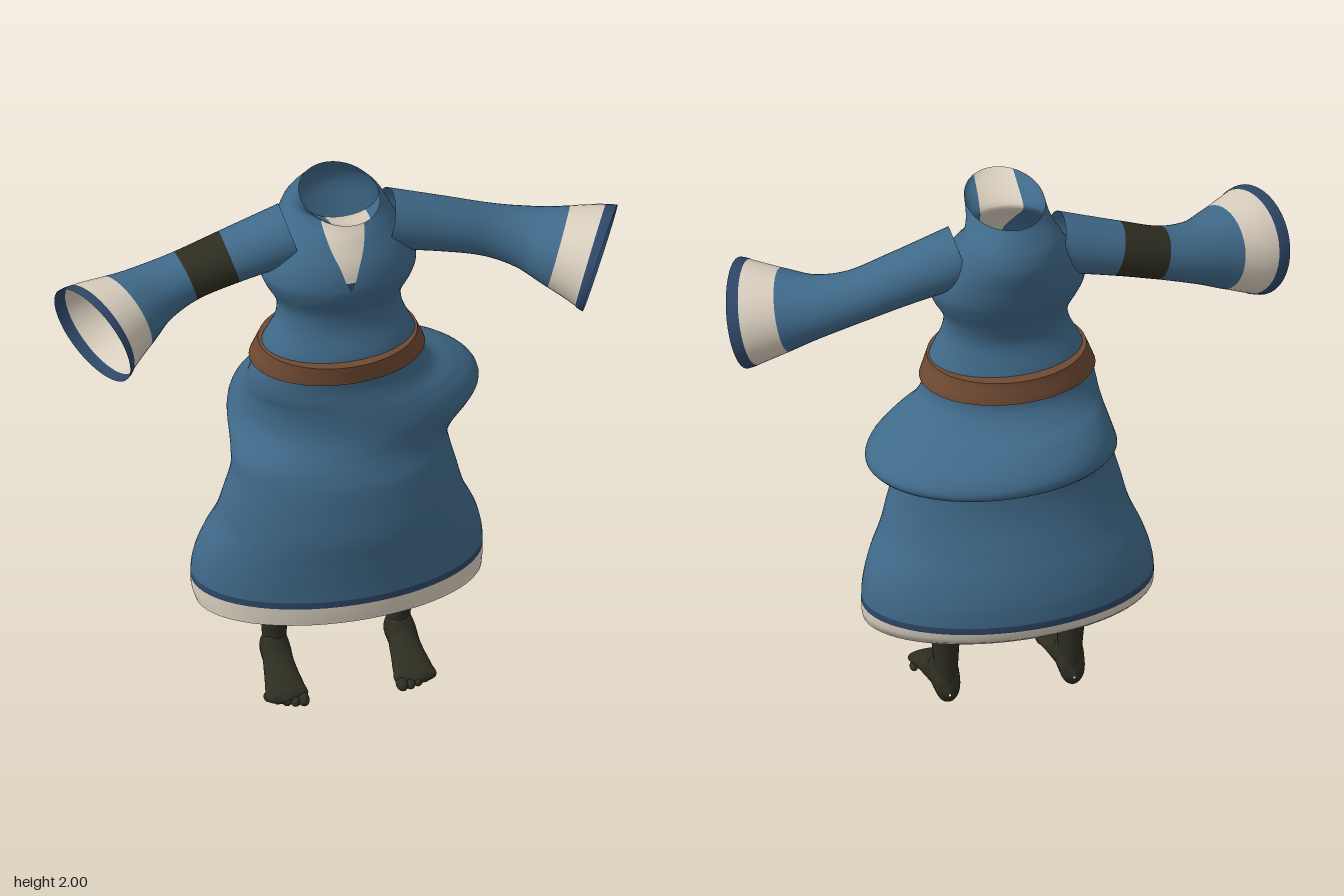
import * as THREE from 'three';

const mat = (name, color, side = THREE.DoubleSide) => {
  const m = new THREE.MeshStandardMaterial({ color, side });
  m.name = name;
  return m;
};

// Smooth interpolation through rows; the first entry of each row is the parameter.
function sampleRows(rows, t) {
  const n = rows.length;
  t = Math.min(Math.max(t, rows[0][0]), rows[n - 1][0]);
  let i = 0;
  while (i < n - 2 && t > rows[i + 1][0]) i++;
  const a = rows[i], b = rows[i + 1], p = rows[Math.max(i - 1, 0)], q = rows[Math.min(i + 2, n - 1)];
  const h = b[0] - a[0], s = (t - a[0]) / h, s2 = s * s, s3 = s2 * s;
  return a.map((v, k) => {
    const ma = (b[k] - p[k]) / (b[0] - p[0]) * h, mb = (q[k] - a[k]) / (q[0] - a[0]) * h;
    return (2 * s3 - 3 * s2 + 1) * v + (s3 - 2 * s2 + s) * ma + (3 * s2 - 2 * s3) * b[k] + (s3 - s2) * mb;
  });
}

// Grid over point(angle, v), with normals taken from the surface itself.
function surface(point, v0, v1, nv, nu = 64, lo = () => 0, hi = () => Math.PI * 2) {
  const pos = [], nor = [], idx = [], e = 1e-3, ev = (v1 - v0) * 1e-3;
  for (let j = 0; j <= nv; j++) {
    const v = v0 + (v1 - v0) * j / nv, a = lo(v), b = hi(v);
    for (let i = 0; i <= nu; i++) {
      const u = a + (b - a) * i / nu;
      const du = point(u + e, v).sub(point(u - e, v));
      const dv = point(u, v + ev).sub(point(u, v - ev));
      pos.push(...point(u, v).toArray());
      nor.push(...du.cross(dv).normalize().toArray());
      if (i < nu && j < nv) {
        const k = j * (nu + 1) + i, l = k + nu + 1;
        idx.push(k, k + 1, l + 1, k, l + 1, l);
      }
    }
  }
  const g = new THREE.BufferGeometry();
  g.setAttribute('position', new THREE.Float32BufferAttribute(pos, 3));
  g.setAttribute('normal', new THREE.Float32BufferAttribute(nor, 3));
  g.setIndex(idx);
  return g;
}

// Horizontal ellipses given by rows of [y, left x, right x, back z, front z].
const ellipses = rows => (u, y) => {
  const [, xl, xr, zb, zf] = sampleRows(rows, y);
  return new THREE.Vector3((xl + xr) / 2 + (xr - xl) / 2 * Math.sin(u), y, (zb + zf) / 2 + (zf - zb) / 2 * Math.cos(u));
};

const ROBE = [
  [0.36, -0.495, 0.495, -0.2, 0.31], [0.4, -0.505, 0.503, -0.24, 0.313], [0.5, -0.5, 0.5, -0.242, 0.315],
  [0.6, -0.472, 0.475, -0.22, 0.32], [0.7, -0.43, 0.432, -0.185, 0.325], [0.8, -0.405, 0.405, -0.15, 0.315],
  [0.9, -0.38, 0.38, -0.13, 0.3], [0.96, -0.376, 0.373, -0.135, 0.28], [1.0, -0.37, 0.41, -0.2, 0.265],
  [1.04, -0.362, 0.475, -0.31, 0.255], [1.08, -0.35, 0.51, -0.356, 0.25], [1.13, -0.335, 0.488, -0.335, 0.245],
  [1.18, -0.32, 0.42, -0.27, 0.24], [1.22, -0.312, 0.345, -0.19, 0.235], [1.27, -0.305, 0.3, -0.14, 0.23],
  [1.34, -0.285, 0.28, -0.125, 0.235], [1.4, -0.265, 0.262, -0.11, 0.235], [1.5, -0.22, 0.22, -0.078, 0.205],
  [1.57, -0.216, 0.216, -0.09, 0.205], [1.65, -0.255, 0.255, -0.12, 0.232], [1.7, -0.27, 0.268, -0.138, 0.24],
  [1.78, -0.243, 0.241, -0.157, 0.225], [1.86, -0.2, 0.198, -0.17, 0.18], [1.91, -0.175, 0.172, -0.16, 0.14],
  [1.94, -0.157, 0.155, -0.145, 0.135], [1.97, -0.143, 0.14, -0.125, 0.185], [2.0, -0.138, 0.13, -0.1, 0.275],
];
const BELT = [[1.325, -0.305, 0.3, -0.17, 0.262], [1.4, -0.277, 0.27, -0.148, 0.268]];

// Half-width of the neckline panel by height.
const NECK = [[1.69, 0], [1.73, 0.016], [1.78, 0.032], [1.85, 0.06], [1.93, 0.075], [2.0, 0.068]];
const neckAngle = y => {
  if (y <= 1.69) return 0;
  const r = sampleRows(ROBE, y);
  return Math.asin(Math.min(0.9, 2 * Math.max(0, sampleRows(NECK, y)[1]) / (r[2] - r[1])));
};

// Sleeve centre line and radii.
const ARM = [
  [0.165, 1.83, 0.035, 0.105], [0.375, 1.767, 0.035, 0.094], [0.53, 1.717, 0.04, 0.091], [0.65, 1.682, 0.065, 0.108],
  [0.75, 1.655, 0.105, 0.142], [0.855, 1.63, 0.15, 0.18], [0.885, 1.622, 0.165, 0.19],
];

function sleevePoint(side) {
  const curve = new THREE.CatmullRomCurve3(ARM.map(p => new THREE.Vector3(side * p[0], p[1], p[2])));
  const radii = ARM.map((p, i) => [i, p[3]]), last = ARM.length - 1;
  return (u, v) => {
    const t = Math.min(Math.max(v / last, 0), 1), T = curve.getTangent(t);
    const A = new THREE.Vector3(0, 1, 0).addScaledVector(T, -T.y).normalize();
    const B = new THREE.Vector3().crossVectors(T, A), r = sampleRows(radii, v)[1];
    return curve.getPoint(t).addScaledVector(A, r * Math.cos(u)).addScaledVector(B, r * Math.sin(u));
  };
}

const LEG = [
  [0.05, 0.18, 0.255, -0.03, 0.08], [0.15, 0.175, 0.257, -0.03, 0.08], [0.25, 0.169, 0.266, -0.036, 0.09],
  [0.34, 0.16, 0.28, -0.042, 0.1], [0.5, 0.145, 0.285, -0.06, 0.105], [0.7, 0.1, 0.265, -0.06, 0.11],
  [1.0, 0.02, 0.235, -0.085, 0.135], [1.2, 0.012, 0.22, -0.08, 0.14], [1.26, 0.1, 0.12, 0.02, 0.04],
];
// Foot sections: [z, half width, bottom, top].
const FOOT = [
  [-0.036, 0.004, 0.045, 0.055], [-0.024, 0.035, 0.014, 0.115], [0.02, 0.047, 0.006, 0.17], [0.07, 0.05, 0.01, 0.17],
  [0.1, 0.053, 0.012, 0.125], [0.15, 0.06, 0.012, 0.092], [0.2, 0.068, 0.006, 0.07], [0.245, 0.068, 0.006, 0.052],
  [0.262, 0.01, 0.02, 0.035],
];

export function createModel() {
  const blue = mat('robe blue', 0x406a8a), navy = mat('trim navy', 0x2e4768), cream = mat('cream', 0xd9cfbf);
  const brown = mat('belt brown', 0x6f4a32), dark = mat('dark skin', 0x2e2d21, THREE.FrontSide);
  const band = mat('armband dark', 0x2e2d21);
  const model = new THREE.Group();
  model.name = 'robedFigure';
  const add = (name, geometry, material, parent = model) => {
    const mesh = new THREE.Mesh(geometry, material);
    mesh.name = name;
    parent.add(mesh);
    return mesh;
  };

  // Robe: hem, skirt and bodice share one flowing surface
  const robe = ellipses(ROBE), full = Math.PI * 2;
  add('hem', surface(robe, 0.36, 0.43, 6), cream);
  add('hemTrim', surface(robe, 0.43, 0.455, 2), navy);
  add('skirt', surface(robe, 0.455, 1.36, 70), blue);
  add('bodice', surface(robe, 1.36, 2, 64, 64, neckAngle, y => full - neckAngle(y)), blue);

  // Neckline panel with a small dark tip
  const panel = (a, b, n) => surface(robe, a, b, n, 10, y => -neckAngle(y), neckAngle);
  add('necklineTip', panel(1.69, 1.73, 4), navy);
  add('necklinePanel', panel(1.73, 2, 27), cream);

  // Belt band and its top edge
  const belt = ellipses(BELT);
  add('belt', surface(belt, 1.325, 1.4, 3), brown);
  add('beltTop', surface((u, v) => belt(u, 1.4).lerp(robe(u, 1.4), v), 0, 1, 1), brown);

  for (const side of [1, -1]) {
    const label = side > 0 ? 'left' : 'right';

    // Flared sleeve, with an armband on the right only
    const arm = new THREE.Group(), p = sleevePoint(side);
    arm.name = label + 'Sleeve';
    model.add(arm);
    add('upperSleeve', surface(p, 0, 1, 8, 40), blue, arm);
    add(side < 0 ? 'armband' : 'middleSleeve', surface(p, 1, 2, 8, 40), side < 0 ? band : blue, arm);
    add('lowerSleeve', surface(p, 2, 4.05, 16, 40), blue, arm);
    add('cuff', surface(p, 4.05, 5, 8, 40), cream, arm);
    add('cuffTrim', surface(p, 5, 6, 4, 40), navy, arm);

    // Leg, foot and toes
    const leg = new THREE.Group();
    leg.name = label + 'Leg';
    model.add(leg);
    const rows = LEG.map(([y, a, b, c, d]) => side > 0 ? [y, a, b, c, d] : [y, -b, -a, c, d]);
    add('leg', surface(ellipses(rows), 0.05, 1.26, 48, 28), dark, leg);
    const foot = (u, z) => {
      const [, w, y0, y1] = sampleRows(FOOT, z);
      const x = 0.217 + 0.03 * Math.max(0, z) - 0.0005;
      return new THREE.Vector3(side * x + w * Math.cos(u), (y0 + y1) / 2 + (y1 - y0) / 2 * Math.sin(u), z);
    };
    add('foot', surface(foot, -0.036, 0.262, 30, 28), dark, leg);
    for (let i = 0; i < 5; i++) {
      const r = 0.021 - 0.0018 * i;
      const toe = add('toe', new THREE.SphereGeometry(r, 14, 10), dark, leg);
      toe.scale.z = 1.6;
      toe.position.set(side * (0.172 + i * 0.028), r, 0.252 - 0.003 * i * i);
    }
  }
  return model;
}
